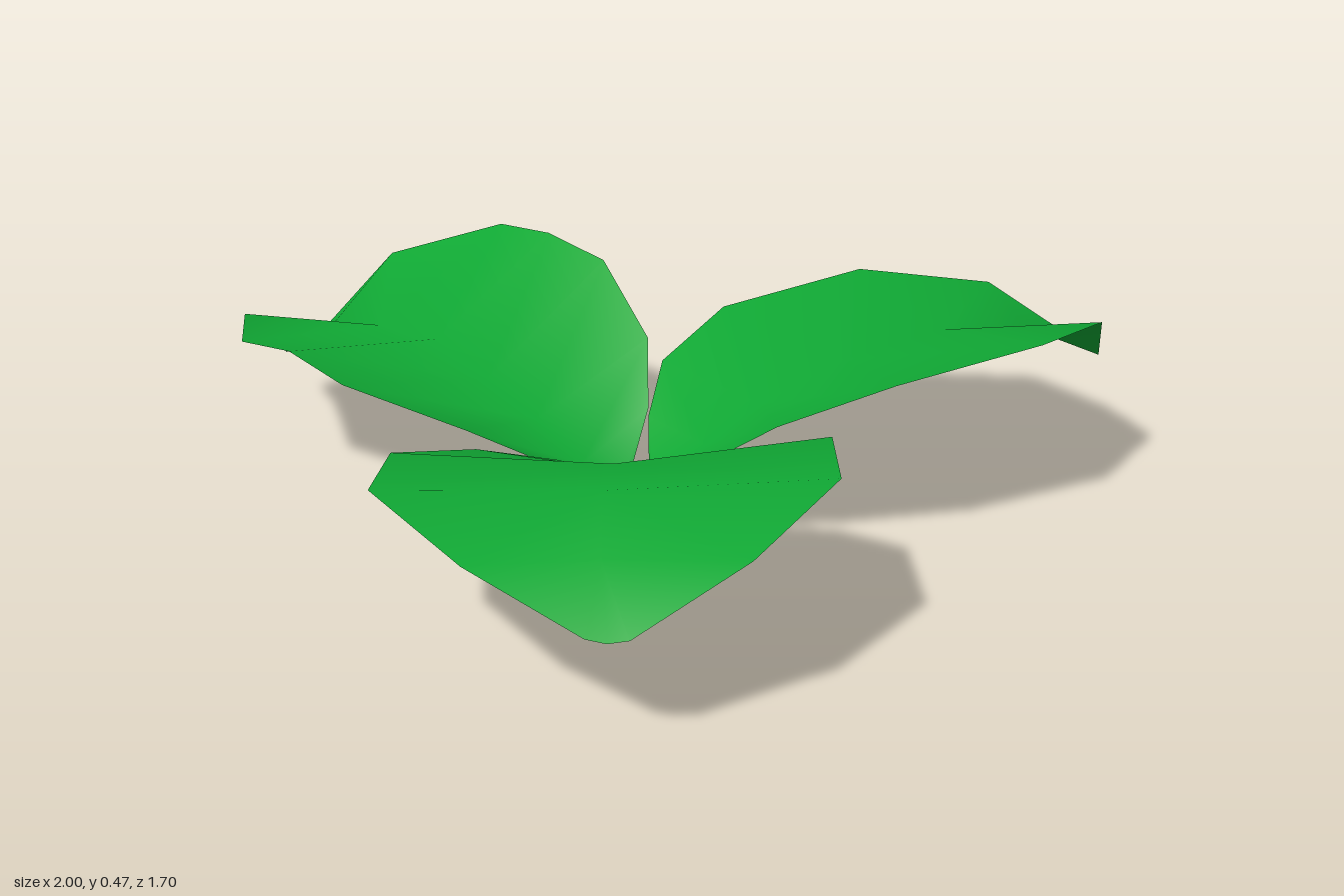
import * as THREE from 'three';

const leafGreen = new THREE.MeshStandardMaterial({ color: 0x10a834, side: THREE.DoubleSide });
leafGreen.name = 'leaf green';

// Leaf blade lofted through its two edges and midrib, from base to tip
function blade(name, edgeA, midrib, edgeB) {
  const pos = [], idx = [];
  midrib.forEach((m, i) => pos.push(...edgeA[i], ...m, ...edgeB[i]));
  for (let i = 0; i < midrib.length - 1; i++) {
    for (let j = 0; j < 2; j++) {
      const p = i * 3 + j;
      // mirror the diagonals about the midrib
      if (j === 0) idx.push(p, p + 3, p + 1, p + 1, p + 3, p + 4);
      else idx.push(p, p + 3, p + 4, p, p + 4, p + 1);
    }
  }
  const g = new THREE.BufferGeometry();
  g.setAttribute('position', new THREE.Float32BufferAttribute(pos, 3));
  g.setIndex(idx);
  g.computeVertexNormals();
  const mesh = new THREE.Mesh(g, leafGreen);
  mesh.name = name;
  return mesh;
}

// Short tapered stalk between two points
function stalk(name, from, to, r0, r1) {
  const a = new THREE.Vector3(...from), b = new THREE.Vector3(...to);
  const dir = b.clone().sub(a);
  const mesh = new THREE.Mesh(new THREE.CylinderGeometry(r1, r0, dir.length(), 4), leafGreen);
  mesh.position.copy(a).add(b).multiplyScalar(0.5);
  mesh.quaternion.setFromUnitVectors(new THREE.Vector3(0, 1, 0), dir.normalize());
  mesh.name = name;
  return mesh;
}

export function createModel() {
  const plant = new THREE.Group();
  plant.name = 'threeLeafSprout';

  plant.add(blade('frontLeaf',
    [[-.09, .15, -.01], [-.2, .21, .02], [-.36, .27, .11], [-.51, .32, .25], [-.5, .365, .52], [-.29, .33, .75], [-.06, .245, .845]],
    [[-.05, .15, 0], [-.04, .19, .06], [-.05, .25, .15], [-.06, .32, .27], [-.06, .37, .5], [-.04, .335, .72], [-.02, .24, .85]],
    [[-.01, .15, -.01], [.1, .19, 0], [.27, .275, .08], [.37, .37, .22], [.385, .405, .49], [.23, .35, .73], [.02, .245, .845]]));

  plant.add(blade('backRightLeaf',
    [[-.07, .08, -.12], [-.03, .22, -.25], [-.04, .34, -.37], [-.16, .445, -.59], [-.3, .475, -.69], [-.43, .455, -.81], [-.71, .36, -.85], [-.92, .13, -.82]],
    [[-.09, .07, -.1], [-.17, .12, -.16], [-.28, .19, -.24], [-.4, .25, -.32], [-.53, .3, -.43], [-.69, .28, -.56], [-.84, .22, -.69], [-.95, .125, -.79]],
    [[-.1, .08, -.08], [-.2, .18, 0], [-.39, .28, .04], [-.66, .355, -.01], [-.8, .38, -.13], [-.93, .36, -.23], [-1, .315, -.52], [-.97, .125, -.76]]));

  plant.add(blade('backLeftLeaf',
    [[0, .13, -.07], [.09, .2, .02], [.26, .32, .065], [.5, .41, .045], [.81, .44, -.13], [.97, .39, -.41], [1, .23, -.62]],
    [[-.01, .13, -.1], [.1, .18, -.15], [.22, .25, -.22], [.4, .32, -.32], [.62, .355, -.43], [.82, .32, -.55], [.98, .23, -.655]],
    [[-.02, .13, -.13], [-.03, .2, -.25], [-.01, .27, -.41], [.12, .33, -.61], [.44, .365, -.8], [.75, .34, -.8], [.96, .235, -.69]]));

  // Pointed stem and the three stalks that carry the leaves
  plant.add(stalk('stem', [-.05, 0, -.05], [-.05, .11, -.05], 0.001, 0.028));
  plant.add(stalk('frontStalk', [-.05, .1, -.05], [-.05, .16, .01], 0.025, 0.03));
  plant.add(stalk('backRightStalk', [-.05, .08, -.06], [-.1, .085, -.105], 0.02, 0.02));
  plant.add(stalk('backLeftStalk', [-.05, .1, -.06], [0, .135, -.1], 0.02, 0.02));
  return plant;
}
